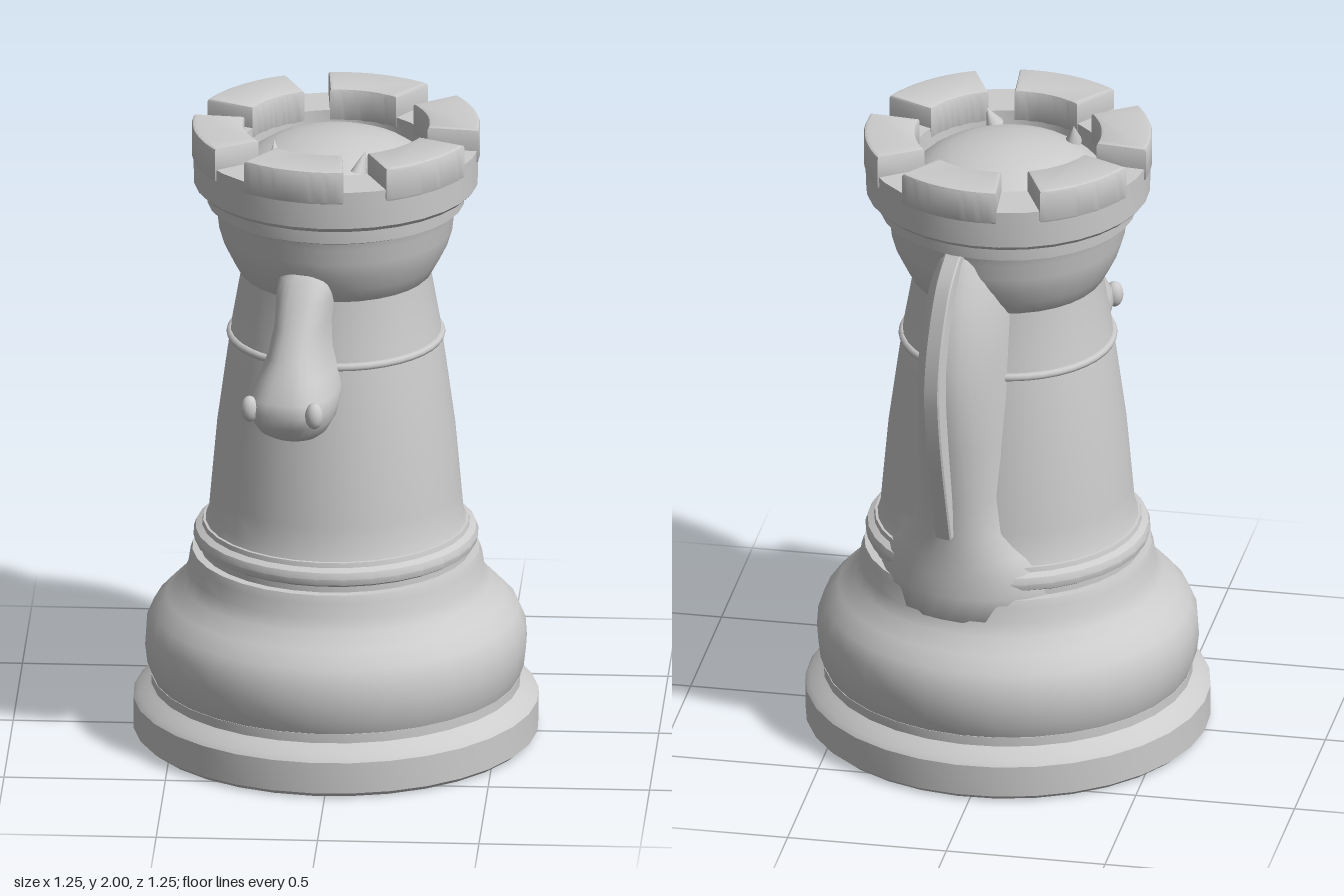
import * as THREE from 'three';
import { toCreasedNormals } from 'three/addons/utils/BufferGeometryUtils.js';

const stone = new THREE.MeshStandardMaterial({ color: 0xcccccc });
stone.name = 'grey stone';

function add(parent, name, geometry) {
  const mesh = new THREE.Mesh(geometry, stone);
  mesh.name = name;
  parent.add(mesh);
  return mesh;
}

// Turned part from [radius, y] points, keeping hard edges sharp
function turned(points, segments = 32) {
  const profile = points.map(([r, y]) => new THREE.Vector2(r, y));
  return toCreasedNormals(new THREE.LatheGeometry(profile, segments), 0.6);
}

// Smooth body through horizontal sections [y, back z, front z, half width, squareness], bottom to top
function loft(sections, n = 28) {
  const pos = [], index = [];
  const soft = (v, p) => Math.sign(v) * Math.abs(v) ** p;
  for (const [y, back, front, half, p = 1] of sections) {
    for (let j = 0; j < n; j++) {
      const a = (j / n) * Math.PI * 2;
      pos.push(half * soft(Math.sin(a), p), y, (back + front) / 2 + (front - back) / 2 * soft(Math.cos(a), p));
    }
  }
  const rows = sections.length;
  for (let i = 0; i < rows - 1; i++) {
    for (let j = 0; j < n; j++) {
      const a = i * n + j, b = i * n + (j + 1) % n;
      index.push(a, b, b + n, a, b + n, a + n);
    }
  }
  const top = (rows - 1) * n;
  for (let j = 1; j < n - 1; j++) index.push(0, j + 1, j, top, top + j, top + j + 1);
  const g = new THREE.BufferGeometry();
  g.setAttribute('position', new THREE.Float32BufferAttribute(pos, 3));
  g.setIndex(index);
  g.computeVertexNormals();
  return g;
}

export function createModel() {
  const model = new THREE.Group();
  model.name = 'rook';
  model.rotation.y = -Math.PI / 12;

  // Stepped foot and round swelling
  add(model, 'foot', turned([
    [0, 0], [0.61, 0], [0.628, 0.015], [0.628, 0.115], [0.615, 0.13], [0.585, 0.15], [0.572, 0.16], [0.572, 0.19], [0.4, 0.19],
  ]));
  add(model, 'baseSwelling', turned([
    [0.5, 0.185], [0.57, 0.19], [0.585, 0.23], [0.592, 0.29], [0.588, 0.35], [0.567, 0.4], [0.525, 0.445],
    [0.48, 0.49], [0.46, 0.53], [0.453, 0.575], [0.445, 0.6], [0.35, 0.605],
  ]));
  add(model, 'baseRing', turned([
    [0.42, 0.59], [0.42, 0.62], [0.437, 0.63], [0.442, 0.65], [0.435, 0.67], [0.415, 0.68], [0.412, 0.695], [0.37, 0.7],
  ]));

  // Tapered shaft with a thin bead
  add(model, 'shaft', turned([
    [0.41, 0.68], [0.395, 0.72], [0.388, 0.8], [0.37, 1], [0.343, 1.2], [0.322, 1.35], [0.292, 1.52], [0.29, 1.6],
  ]));
  const bead = add(model, 'shaftBead', new THREE.TorusGeometry(0.326, 0.013, 8, 40));
  bead.rotation.x = Math.PI / 2;
  bead.position.y = 1.31;

  // Flared collar and the band below the battlements
  add(model, 'collar', turned([
    [0.28, 1.5], [0.3, 1.52], [0.322, 1.56], [0.347, 1.61], [0.362, 1.66], [0.368, 1.71], [0.375, 1.735], [0.398, 1.745],
    [0.4, 1.785], [0.425, 1.795], [0.44, 1.81], [0.443, 1.93], [0.29, 1.93], [0.286, 1.85],
  ]));

  // Battlement blocks
  const half = THREE.MathUtils.degToRad(20), bevel = 0.01;
  for (let i = 0; i < 6; i++) {
    const mid = Math.PI / 2 + i * Math.PI / 3;
    const shape = new THREE.Shape();
    shape.absarc(0, 0, 0.436, mid - half, mid + half, false);
    shape.absarc(0, 0, 0.297, mid + half, mid - half, true);
    const g = new THREE.ExtrudeGeometry(shape, {
      depth: 0.09, bevelSize: bevel, bevelThickness: bevel, bevelSegments: 2, curveSegments: 10,
    });
    g.rotateX(-Math.PI / 2);
    g.translate(0, 1.9, 0);
    add(model, 'battlement', toCreasedNormals(g, 0.6));
  }

  // Domed crown inside the battlements, with two small ears
  add(model, 'dome', turned([
    [0.292, 1.865], [0.27, 1.885], [0.23, 1.912], [0.18, 1.933], [0.12, 1.948], [0.06, 1.957], [0, 1.96],
  ]));
  for (const side of [-1, 1]) {
    const ear = add(model, 'ear', new THREE.ConeGeometry(0.026, 0.075, 12));
    ear.scale.z = 1.35;
    ear.position.set(side * 0.142, 1.945, 0.17);
    ear.rotation.set(-0.35, 0, -side * 0.2);
  }

  // Long snout pushed out of the front
  add(model, 'snout', loft([
    [1.11, 0.38, 0.45, 0.04], [1.118, 0.35, 0.485, 0.075], [1.14, 0.31, 0.525, 0.103, 0.9],
    [1.18, 0.27, 0.555, 0.124, 0.8], [1.22, 0.25, 0.567, 0.132, 0.75], [1.26, 0.23, 0.56, 0.13, 0.75],
    [1.32, 0.2, 0.53, 0.109, 0.8], [1.38, 0.18, 0.498, 0.09, 0.85], [1.46, 0.16, 0.452, 0.082, 0.85],
    [1.54, 0.16, 0.408, 0.088, 0.85], [1.6, 0.16, 0.366, 0.088, 0.85], [1.63, 0.18, 0.335, 0.07],
  ]));
  for (const side of [-1, 1]) {
    const nostril = add(model, 'nostril', new THREE.SphereGeometry(0.035, 16, 12));
    nostril.scale.set(0.8, 1.2, 0.8);
    nostril.position.set(side * 0.105, 1.23, 0.535);
  }

  // Arched neck bulging from the back, spreading onto the base
  add(model, 'neck', loft([
    [0.5, -0.465, 0.05, 0.31], [0.6, -0.46, 0.05, 0.31], [0.66, -0.453, 0.03, 0.3], [0.72, -0.448, 0, 0.25],
    [0.8, -0.445, 0, 0.19], [0.92, -0.452, 0, 0.16], [1.1, -0.478, 0, 0.15], [1.25, -0.497, 0, 0.145],
    [1.38, -0.5, 0, 0.14], [1.5, -0.478, 0, 0.135], [1.6, -0.447, 0, 0.12], [1.7, -0.4, 0, 0.1], [1.75, -0.365, 0, 0.08],
  ]));

  // Thin curved mane along the neck
  const mane = new THREE.Shape();
  mane.moveTo(-0.34, 1.745);
  mane.lineTo(-0.39, 1.74);
  mane.splineThru([[-0.46, 1.65], [-0.515, 1.5], [-0.54, 1.36], [-0.537, 1.24], [-0.51, 1.06], [-0.455, 0.8]]
    .map(([z, y]) => new THREE.Vector2(z, y)));
  mane.lineTo(-0.425, 0.81);
  mane.splineThru([[-0.465, 1.06], [-0.485, 1.3], [-0.46, 1.5], [-0.4, 1.65], [-0.34, 1.745]]
    .map(([z, y]) => new THREE.Vector2(z, y)));
  const strip = new THREE.ExtrudeGeometry(mane, {
    depth: 0.045, bevelSize: 0.004, bevelThickness: 0.005, bevelSegments: 1, curveSegments: 20,
  });
  strip.translate(0, 0, -0.0225);
  strip.rotateY(-Math.PI / 2);
  add(model, 'mane', toCreasedNormals(strip, 0.6));

  const root = new THREE.Group();
  root.name = 'chessPiece';
  root.add(model);
  return root;
}
